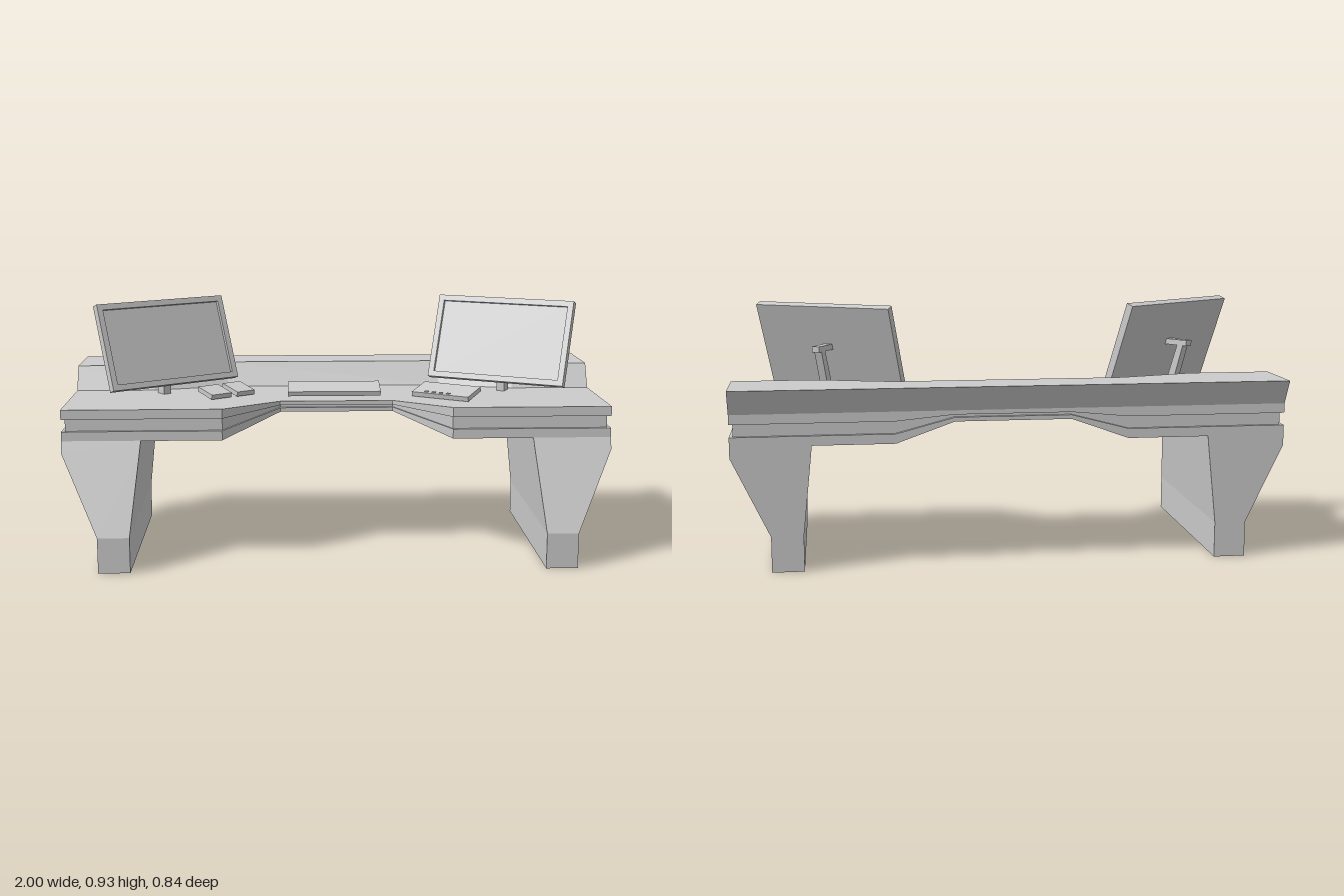
import * as THREE from 'three';

const mat = new THREE.MeshStandardMaterial({ color: 0xcccccc, flatShading: true });
const deg = THREE.MathUtils.degToRad;

function mesh(name, geometry, parent) {
  const m = new THREE.Mesh(geometry, mat);
  m.name = name;
  parent.add(m);
  return m;
}

// Skin a row of four-cornered sections and close both ends
function loft(sections) {
  const pos = [];
  const quad = (a, b, c, d) => pos.push(...a, ...b, ...c, ...a, ...c, ...d);
  for (let i = 0; i < sections.length - 1; i++) {
    for (let j = 0; j < 4; j++) {
      const k = (j + 1) % 4;
      quad(sections[i][j], sections[i][k], sections[i + 1][k], sections[i + 1][j]);
    }
  }
  const [a, b, c, d] = sections[0];
  quad(d, c, b, a);
  quad(...sections[sections.length - 1]);
  const g = new THREE.BufferGeometry();
  g.setAttribute('position', new THREE.Float32BufferAttribute(pos, 3));
  g.computeVertexNormals();
  return g;
}

// Stations from the middle outwards, mirrored to run from -x to +x
const mirrored = (half) => [...half.map((s) => ({ ...s, x: -s.x })).reverse(), ...half];

// One layer of the desk top; lo and hi pick its heights
function deskLayer(lo, hi, inset) {
  const mid = { zf: 0.135, y: [0.53, 0.545, 0.555, 0.57] };
  const side = { zf: 0.285, y: [0.455, 0.49, 0.535, 0.57] };
  const half = [{ x: 0.21, ...mid }, { x: 0.42, ...side }, { x: 1 - inset, ...side }];
  return loft(mirrored(half).map(({ x, zf, y }) => {
    const b = -0.37 + inset, f = zf - inset;
    return [[x, y[lo], b], [x, y[hi], b], [x, y[hi], f], [x, y[lo], f]];
  }));
}

// Raised rear shelf, deeper at both ends and overhanging the back
function rearLedge() {
  const half = [{ x: 0.42, z: -0.25 }, { x: 0.7, z: -0.17 }, { x: 1, z: -0.17 }];
  return loft(mirrored(half).map(({ x, z }) =>
    [[x, 0.57, -0.37], [x, 0.66, -0.42], [x, 0.66, z], [x, 0.57, z + 0.05]]));
}

// Leg slab flaring outwards to the desk top, with a forward foot
function leg(side) {
  const levels = [[0, 0.75, 0.865, 0.42], [0.13, 0.75, 0.865, 0.42],
    [0.415, 0.719, 1, 0.302], [0.456, 0.715, 1, 0.285]];
  return loft(levels.map(([y, inner, outer, f]) => {
    const [x0, x1] = side > 0 ? [inner, outer] : [-outer, -inner];
    return [[x0, y, -0.37], [x0, y, f], [x1, y, f], [x1, y, -0.37]];
  }));
}

function rectangle(Type, w, h) {
  return new Type([[-w, -h], [w, -h], [w, h], [-w, h]].map(([x, y]) => new THREE.Vector2(x / 2, y / 2)));
}

// Tilted display with raised bezel on a bent stand
function monitor(name, x, z, yaw) {
  const group = new THREE.Group();
  group.name = name;
  group.position.set(x, 0, z);
  group.rotation.y = deg(yaw);

  const w = 0.545, h = 0.328, border = 0.022;
  const display = new THREE.Group();
  display.name = 'display';
  display.position.y = 0.77;
  display.rotation.x = deg(-20);
  group.add(display);
  mesh('screenPanel', new THREE.BoxGeometry(w, h, 0.018), display).position.z = -0.006;
  const frame = rectangle(THREE.Shape, w, h);
  frame.holes.push(rectangle(THREE.Path, w - 2 * border, h - 2 * border));
  mesh('bezel', new THREE.ExtrudeGeometry(frame, { depth: 0.012, bevelEnabled: false }), display)
    .position.z = 0.003;

  // Side outline of the stand, as [depth, height]
  const outline = [[-0.055, 0.57], [-0.01, 0.57], [-0.01, 0.605], [-0.022, 0.62], [-0.07, 0.757],
    [-0.01, 0.757], [-0.01, 0.778], [-0.115, 0.778], [-0.115, 0.757], [-0.098, 0.757], [-0.055, 0.62]];
  const profile = new THREE.Shape(outline.map(([d, y]) => new THREE.Vector2(-d, y)));
  const geo = new THREE.ExtrudeGeometry(profile, { depth: 0.03, bevelEnabled: false });
  geo.translate(0, 0, -0.015).rotateY(Math.PI / 2);
  mesh('monitorStand', geo, group);
  return group;
}

// Thin device resting on its front edge with the back raised
function slab(name, x, z, w, d, yaw, y = 0.592) {
  const group = new THREE.Group();
  group.name = name;
  group.position.set(x, y, z);
  group.rotation.set(deg(12), deg(yaw), 0, 'YXZ');
  mesh('body', new THREE.BoxGeometry(w, 0.018, d), group);
  return group;
}

export function createModel() {
  const model = new THREE.Group();
  model.name = 'desk';

  // Desk top in three layers, the middle one recessed
  mesh('lowerDeskLayer', deskLayer(0, 1, 0), model);
  mesh('deskGroove', deskLayer(1, 2, 0.013), model);
  mesh('deskTop', deskLayer(2, 3, 0), model);
  mesh('rearLedge', rearLedge(), model);
  mesh('leftLeg', leg(1), model);
  mesh('rightLeg', leg(-1), model);

  model.add(monitor('leftMonitor', 0.64, -0.048, -29));
  model.add(monitor('rightMonitor', -0.637, -0.028, 35.5));

  // Devices on the desk
  model.add(slab('keyboard', -0.005, 0.015, 0.35, 0.108, 0, 0.596));
  model.add(slab('rightPadOuter', -0.457, 0.05, 0.09, 0.095, 37));
  model.add(slab('rightPadInner', -0.37, -0.015, 0.08, 0.1, 37));
  const control = slab('controlPanel', 0.418, 0.073, 0.235, 0.112, -33);
  for (let i = 0; i < 4; i++) {
    mesh('button', new THREE.BoxGeometry(0.014, 0.004, 0.008), control)
      .position.set(-0.06 + i * 0.03, 0.01, 0.043);
  }
  model.add(control);
  return model;
}
